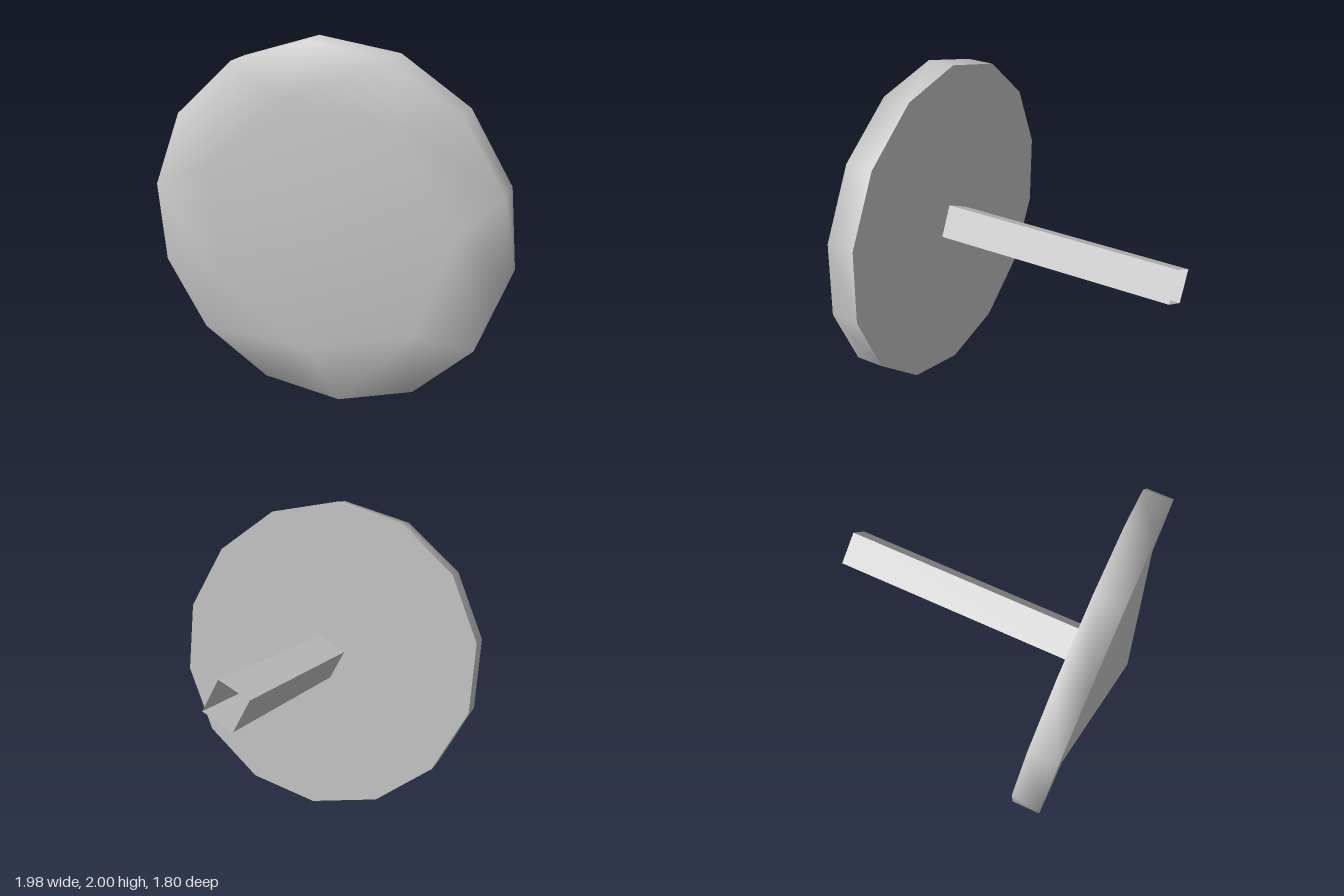
import * as THREE from 'three';

const R = 1.003;                       // rim radius
const INNER = 0.73;                    // radius where the cone meets the rim face
const SIDES = 14;
const STEP = (Math.PI * 2) / SIDES;
const START = THREE.MathUtils.degToRad(-8.6);
const BACK = 0.6, FRONT = 0.77, TIP = 0.9;

// Rim wall, front ring and shallow cone as one smooth skin
function headGeometry() {
  const pos = [], index = [];
  const point = (r, a, z) => pos.push(r * Math.cos(a), r * Math.sin(a), z);
  for (let i = 0; i < SIDES; i++) point(R, START + i * STEP, BACK);
  for (let i = 0; i < SIDES; i++) point(R, START + i * STEP, FRONT);
  // seven inner corners, each facing the middle of every other rim side
  for (let j = 0; j < SIDES / 2; j++) point(INNER, START + (2 * j + 0.5) * STEP, FRONT);
  pos.push(0, 0, TIP);

  const back = i => i % SIDES;
  const front = i => SIDES + (i % SIDES);
  const inner = j => 2 * SIDES + (j % (SIDES / 2));
  const tip = 2.5 * SIDES;
  for (let i = 0; i < SIDES; i++) {
    index.push(back(i), back(i + 1), front(i + 1), back(i), front(i + 1), front(i));
  }
  for (let j = 0; j < SIDES / 2; j++) {
    const a = 2 * j;
    index.push(front(a), front(a + 1), inner(j));
    index.push(inner(j), front(a + 1), inner(j + 1));
    index.push(front(a + 1), front(a + 2), inner(j + 1));
    index.push(inner(j), inner(j + 1), tip);
  }
  const g = new THREE.BufferGeometry();
  g.setAttribute('position', new THREE.Float32BufferAttribute(pos, 3));
  g.setIndex(index);
  g.computeVertexNormals();
  return g;
}

export function createModel() {
  const group = new THREE.Group();
  group.name = 'roundHeadedPin';
  const grey = new THREE.MeshStandardMaterial({ color: 0xcccccc, side: THREE.DoubleSide });
  grey.name = 'light grey';

  const add = (name, geometry) => {
    const mesh = new THREE.Mesh(geometry, grey);
    mesh.name = name;
    mesh.position.y = 1;
    group.add(mesh);
  };

  add('head', headGeometry());

  // Flat back of the head
  add('headBack', new THREE.CircleGeometry(R, SIDES).rotateY(Math.PI).rotateZ(START).translate(0, 0, BACK));

  // Four-sided hollow shaft, open at the far end
  const shaft = new THREE.CylinderGeometry(0.141, 0.141, 1.5, 4, 1, true)
    .rotateX(Math.PI / 2)
    .rotateZ(THREE.MathUtils.degToRad(73.5))
    .translate(0, 0, -0.15)
    .toNonIndexed();
  shaft.computeVertexNormals();
  add('shaft', shaft);

  return group;
}
